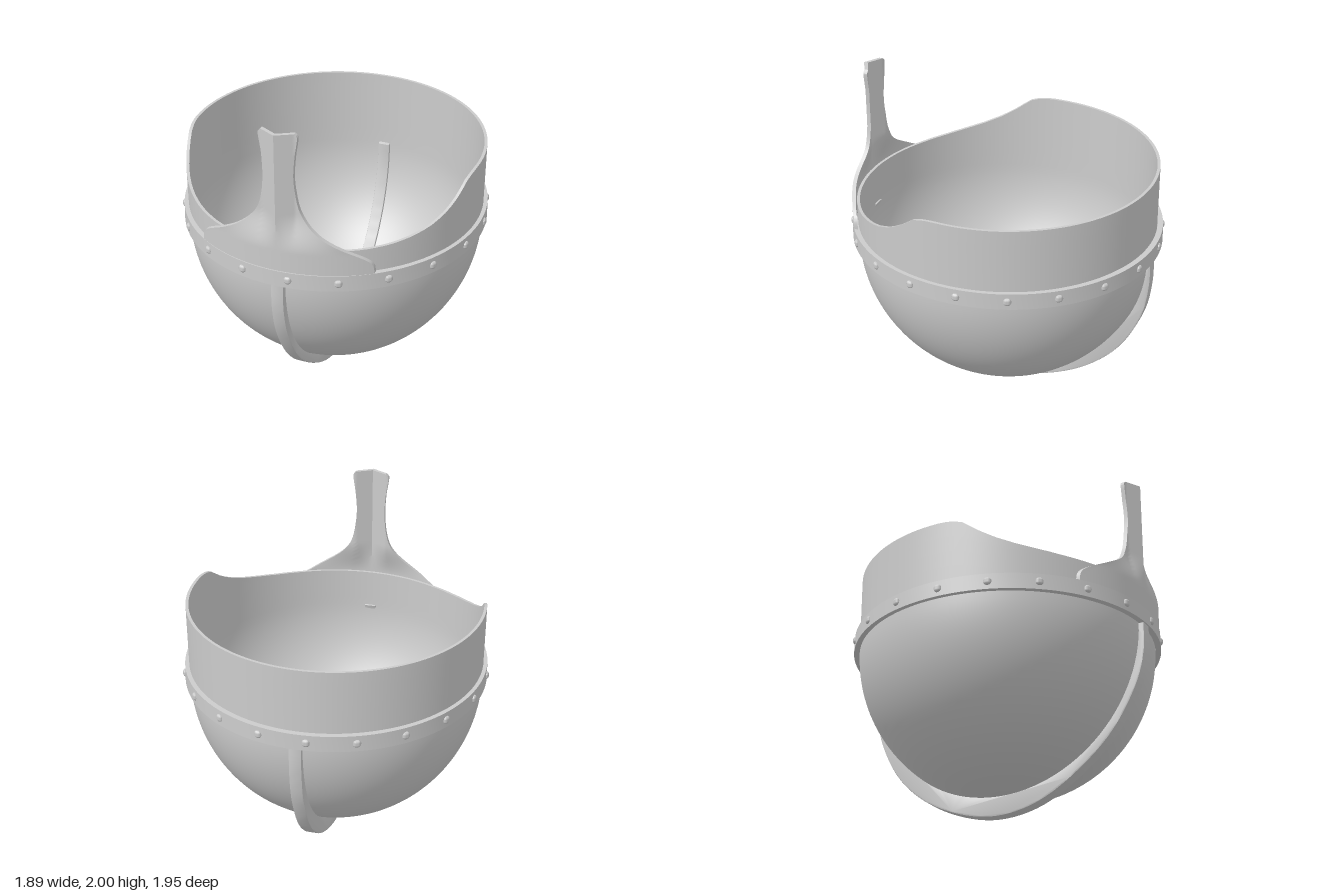
import * as THREE from 'three';
import { toCreasedNormals } from 'three/addons/utils/BufferGeometryUtils.js';

const RX = 0.905, RZ = 0.925, BASE = 1.04, DEPTH = 0.92;
const material = new THREE.MeshStandardMaterial({ color: 0xcccccc, side: THREE.DoubleSide });

function addMesh(parent, name, geometry, crease = 0.6) {
  const mesh = new THREE.Mesh(toCreasedNormals(geometry, crease), material);
  mesh.name = name;
  parent.add(mesh);
  return mesh;
}

// Skin a list of equally long rows of [x, y, z] points
function loft(rows) {
  const n = rows[0].length, index = [];
  for (let j = 0; j < rows.length - 1; j++) {
    for (let i = 0; i < n; i++) {
      const k = (i + 1) % n, a = j * n, b = a + n;
      index.push(a + i, a + k, b + k, a + i, b + k, b + i);
    }
  }
  const g = new THREE.BufferGeometry();
  g.setAttribute('position', new THREE.Float32BufferAttribute(rows.flat(2), 3));
  g.setIndex(index);
  g.computeVertexNormals();
  return g;
}

// Piecewise linear lookup in [key, value] pairs with rising keys
function lookup(table, key) {
  if (key <= table[0][0]) return table[0][1];
  for (let i = 1; i < table.length; i++) {
    const [k0, v0] = table[i - 1], [k1, v1] = table[i];
    if (key <= k1) return v0 + (v1 - v0) * (key - k0) / (k1 - k0);
  }
  return table[table.length - 1][1];
}

// Rim height, dipping towards the front
const rimHeight = [[0.08, 1.535], [0.14, 1.53], [0.2, 1.515], [0.25, 1.48], [0.32, 1.43], [0.4, 1.386],
  [0.5, 1.345], [0.6, 1.318], [0.7, 1.298], [0.8, 1.287], [0.92, 1.282]];

// Thin-walled bowl: outside going up, over the rim, inside going down
function bowlGeometry() {
  const segments = 112, domeRows = 28, wallRows = 5;
  const ring = (v, inset) => Array.from({ length: segments }, (_, i) => {
    const a = i / segments * Math.PI * 2, s = Math.sin(a), c = Math.cos(a);
    const e = Math.min(v, 1) * Math.PI / 2, w = Math.max(v - 1, 0);
    const r = Math.sin(e), top = lookup(rimHeight, RZ * c);
    const y = v <= 1 ? BASE - (DEPTH - inset) * Math.cos(e) : BASE + (top - BASE) * w;
    return [(RX - inset + 0.006 * w) * r * s, y, (RZ - inset) * r * c];
  });
  const steps = [];
  for (let j = 0; j <= domeRows; j++) steps.push(j / domeRows);
  for (let j = 1; j <= wallRows; j++) steps.push(1 + j / wallRows);
  return loft([...steps.map(v => ring(v, 0)), ...steps.reverse().map(v => ring(v, 0.018))]);
}

// Nose guard: flared base hugging the bowl, ridged narrow blade above
function noseGuardGeometry() {
  const width = new THREE.SplineCurve([[0.53, 1.12], [0.525, 1.19], [0.48, 1.24], [0.37, 1.305], [0.24, 1.385],
    [0.16, 1.46], [0.115, 1.55], [0.093, 1.7], [0.098, 1.84], [0.115, 1.96], [0.113, 1.985], [0.098, 2]]
    .map(p => new THREE.Vector2(...p))).getPoints(66);
  const columns = 24;
  const row = (half, y, front, back) => {
    const point = (u, inset) => {
      const x = u * half;
      const hug = 0.955 * Math.sqrt(1 - (x / 0.94) ** 2);
      const ridge = 0.955 - 0.055 * Math.min(Math.abs(x) / 0.1, 1);
      const t = THREE.MathUtils.smoothstep(y, 1.27, 1.5);
      return [x, y, THREE.MathUtils.lerp(hug, ridge, t) - inset];
    };
    const us = Array.from({ length: columns + 1 }, (_, i) => i / columns * 2 - 1);
    return [...us.map(u => point(u, front)), ...us.reverse().map(u => point(u, back))];
  };
  const rows = width.map(p => row(p.x, p.y, 0, 0.025));
  const first = width[0], last = width[width.length - 1];
  rows.unshift(row(first.x, first.y, 0.012, 0.012));
  rows.push(row(last.x, last.y, 0.012, 0.012));
  return loft(rows);
}

// Crest: curved keel under the bowl, its back half showing slightly inside
function crestGeometry() {
  const outline = new THREE.SplineCurve([[-0.945, 1.06], [-0.945, 0.86], [-0.9, 0.63], [-0.765, 0.375],
    [-0.55, 0.175], [-0.28, 0.045], [-0.02, 0], [0.25, 0.05], [0.52, 0.205], [0.735, 0.4], [0.89, 0.65],
    [0.95, 0.86], [0.955, 1.06]].map(p => new THREE.Vector2(...p))).getPoints(64);
  for (let i = 0; i <= 60; i++) {
    const deg = i * 3, a = deg * Math.PI / 180;
    const k = 0.99 - 0.03 * THREE.MathUtils.smoothstep(deg, 98, 118) - (deg < 2 ? 0.02 : 0);
    outline.push(new THREE.Vector2(k * RZ * Math.cos(a), BASE - k * DEPTH * Math.sin(a)));
  }
  const bevel = 0.008, depth = 0.078 - 2 * bevel;
  const g = new THREE.ExtrudeGeometry(new THREE.Shape(outline), {
    depth, bevelEnabled: true, bevelSize: bevel, bevelThickness: bevel, bevelOffset: -bevel, bevelSegments: 2,
  });
  return g.translate(0, 0, -depth / 2).rotateY(-Math.PI / 2);
}

export function createModel() {
  const group = new THREE.Group();
  group.name = 'helmet';

  addMesh(group, 'bowl', bowlGeometry());
  addMesh(group, 'noseGuard', noseGuardGeometry());
  addMesh(group, 'crest', crestGeometry());

  // Flat band around the bowl
  const section = [[0.897, 1.04], [0.932, 1.04], [0.93, 1.14], [0.897, 1.14], [0.897, 1.04]]
    .map(p => new THREE.Vector2(...p));
  addMesh(group, 'band', new THREE.LatheGeometry(section, 112).scale(1, 1, 1.034));

  // Domed rivets spaced evenly along the band
  const rivets = new THREE.Group();
  rivets.name = 'rivets';
  group.add(rivets);
  for (let i = 0; i < 20; i++) {
    const a = (4.2 + i * 18) * Math.PI / 180;
    const rivet = addMesh(rivets, 'rivet', new THREE.SphereGeometry(0.025, 14, 10), 1);
    rivet.scale.z = 0.7;
    rivet.position.set(0.929 * Math.sin(a), 1.09, 0.96 * Math.cos(a));
    rivet.rotation.y = a;
  }
  return group;
}
